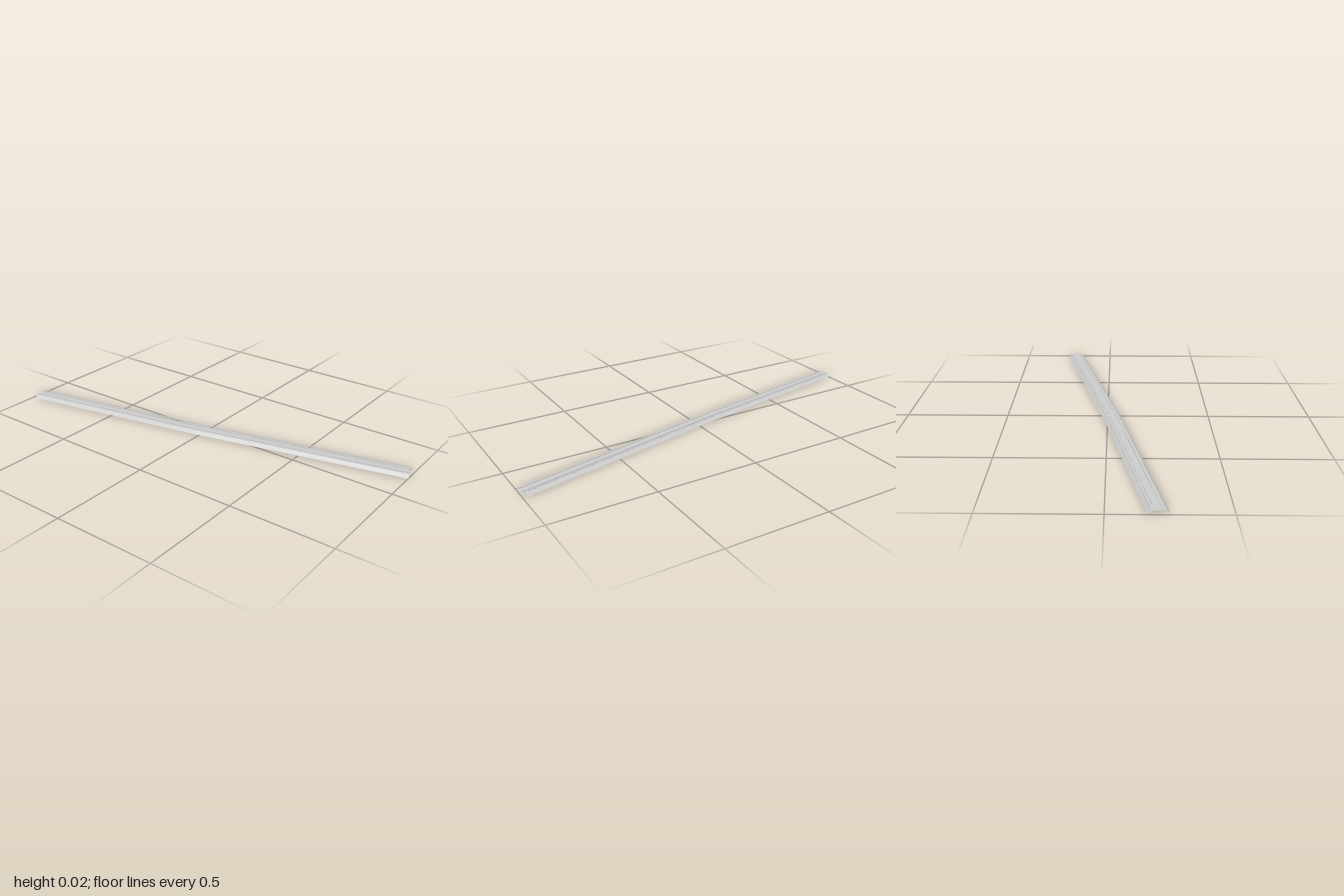
import * as THREE from 'three';

// Track centre line (x, z): two straights with a short bend between
const path = [[-0.9915, 0.2085], [-0.1, 0.039], [-0.03, 0.024], [0.99, -0.2085]]
  .map(([x, z]) => new THREE.Vector2(x, z));
const solid = new THREE.MeshStandardMaterial({ color: 0xcccccc, flatShading: true });
const sheet = new THREE.MeshStandardMaterial({ color: 0xcccccc, flatShading: true, side: THREE.DoubleSide });

// Unit side vector (towards the front) at each path point
const sides = path.map((p, i) => {
  const a = path[Math.max(i - 1, 0)], b = path[Math.min(i + 1, path.length - 1)];
  const d = b.clone().sub(a).normalize();
  return new THREE.Vector2(-d.y, d.x);
});

// Sweep [side offset, height] points along the path, as a closed bar or an open sheet
function sweep(name, section, open = false) {
  const pos = [], index = [], n = section.length, last = (path.length - 1) * n;
  path.forEach((p, i) => section.forEach(([s, y]) =>
    pos.push(p.x + sides[i].x * s, y, p.y + sides[i].y * s)));
  for (let i = 0; i < path.length - 1; i++) {
    for (let j = 0; j < (open ? n - 1 : n); j++) {
      const a = i * n + j, b = i * n + (j + 1) % n;
      index.push(a, a + n, b, b, a + n, b + n);
    }
  }
  if (!open) {
    for (let j = 1; j < n - 1; j++) {
      index.push(0, j, j + 1, last, last + j + 1, last + j);
    }
  }
  const g = new THREE.BufferGeometry();
  g.setAttribute('position', new THREE.Float32BufferAttribute(pos, 3));
  g.setIndex(index);
  const flat = g.toNonIndexed();
  flat.computeVertexNormals();
  const mesh = new THREE.Mesh(flat, open ? sheet : solid);
  mesh.name = name;
  return mesh;
}

// Rectangular section, ordered front-bottom, front-top, back-top, back-bottom
const rect = (s, w, y0, y1) =>
  [[s + w / 2, y0], [s + w / 2, y1], [s - w / 2, y1], [s - w / 2, y0]];

// Small boxes at even steps along the path
function row(name, count, size, y, offset) {
  const group = new THREE.Group();
  group.name = name + 's';
  const geo = new THREE.BoxGeometry(...size);
  const lengths = path.slice(1).map((p, i) => p.distanceTo(path[i]));
  const total = lengths.reduce((a, b) => a + b, 0);
  for (let k = 0; k < count; k++) {
    let t = (k + 0.5) / count * total, i = 0;
    while (i < lengths.length - 1 && t > lengths[i]) t -= lengths[i++];
    const d = path[i + 1].clone().sub(path[i]).normalize();
    const p = path[i].clone().addScaledVector(d, t);
    const mesh = new THREE.Mesh(geo, solid);
    mesh.name = name;
    mesh.position.set(p.x - d.y * offset, y, p.y + d.x * offset);
    mesh.rotation.y = -Math.atan2(d.y, d.x);
    group.add(mesh);
  }
  return group;
}

export function createModel() {
  const model = new THREE.Group();
  model.name = 'railTrack';

  // Ballast bed: a folded sheet with sloped shoulders, open at the ends and below
  model.add(sweep('ballastBed',
    [[0.045, 0], [0.0295, 0.0135], [-0.0295, 0.0135], [-0.045, 0]], true));

  // Running rails: foot, web and head
  for (const [name, s] of [['frontRail', 0.0165], ['backRail', -0.0165]]) {
    const rail = new THREE.Group();
    rail.name = name;
    rail.add(sweep('railFoot', rect(s, 0.003, 0.0135, 0.0145)));
    rail.add(sweep('railWeb', rect(s, 0.0007, 0.0145, 0.0165)));
    rail.add(sweep('railHead', rect(s, 0.0018, 0.0165, 0.0177)));
    model.add(rail);
  }

  // Raised power rail along the back edge, on small brackets
  model.add(sweep('powerRail', rect(-0.031, 0.004, 0.0178, 0.0212)));
  model.add(row('powerRailBracket', 20, [0.003, 0.0065, 0.002], 0.0148, -0.0305));
  return model;
}
